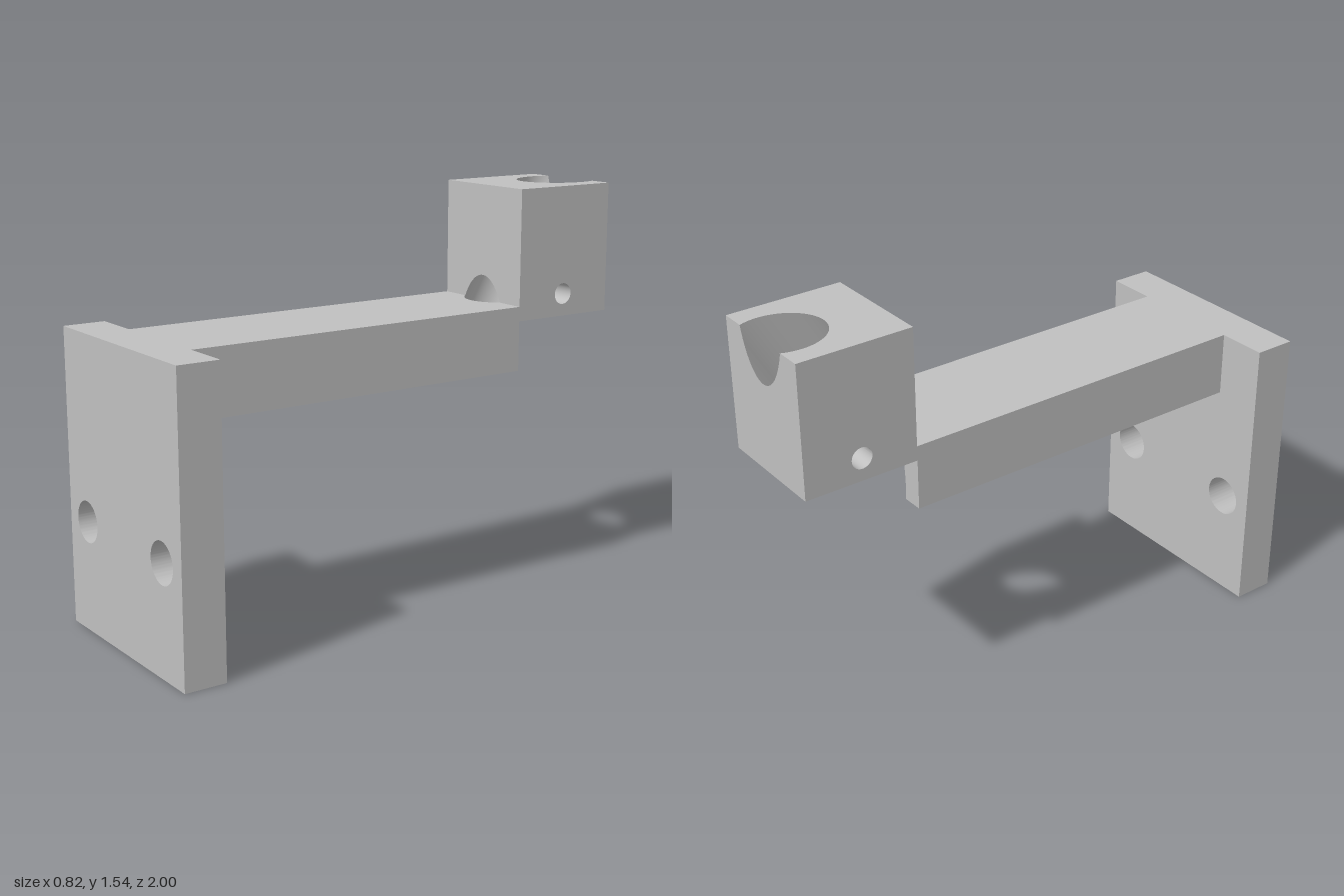
import * as THREE from 'three';
import { toCreasedNormals } from 'three/addons/utils/BufferGeometryUtils.js';

const W = 0.22;                                       // half width of arm and block
const BLOCK = { y0: 1.045, y1: 1.54, z0: -1, z1: -0.565 };
const ARM = { y0: 0.855, y1: 1.1, z0: -0.565, z1: 0.84 };
const R = 0.142, K = Math.tan(Math.PI / 6);           // bore radius, 30 degree lean
const A = R / Math.cos(Math.PI / 6);                  // bore half length in a level cut
const PIN = { y: 1.13, z: -0.78, r: 0.04 };           // small cross hole
const SEG = 240;

// bore centre line in the yz plane
const boreZ = (y) => -0.929 + (1.54 - y) * K;
const boreY = (z) => 1.54 - (z + 0.929) / K;
const clamp = THREE.MathUtils.clamp;

// Surface between two rows of points; zero-size triangles are dropped
function ruled(rowA, rowB, flip = false) {
  const n = rowA.length, index = [];
  const pts = [...rowA, ...rowB].map((p) => new THREE.Vector3(...p));
  const tri = (a, b, c) => {
    const area = new THREE.Triangle(pts[a], pts[b], pts[c]).getArea();
    if (area > 1e-9) index.push(...(flip ? [a, c, b] : [a, b, c]));
  };
  for (let i = 0; i < n - 1; i++) {
    tri(i, i + 1, n + i);
    tri(i + 1, n + i + 1, n + i);
  }
  const g = new THREE.BufferGeometry().setFromPoints(pts);
  g.setIndex(index);
  g.computeVertexNormals();
  return g;
}

// Columns across the width, dense where the bore cuts
const columns = [-W];
for (let i = 0; i <= 64; i++) columns.push(-R * Math.cos((i / 64) * Math.PI));
columns.push(W);

// Flat face from lo to hi with the bore cut out around mid
function cutFace(lo, hi, mid, half, place, flip) {
  const s = columns.map((x) => half * Math.sqrt(Math.max(0, 1 - (x / R) ** 2)));
  const row = (f) => columns.map((x, i) => place(x, clamp(f(s[i]), lo, hi)));
  return [
    ruled(row(() => lo), row((h) => mid - h), flip),
    ruled(row((h) => mid + h), row(() => hi), flip),
  ];
}
const levelFace = (y, z0, z1, up) =>
  cutFace(z0, z1, boreZ(y), A, (x, z) => [x, y, z], up);
const uprightFace = (z, y0, y1, back) =>
  cutFace(y0, y1, boreY(z), A / K, (x, y) => [x, y, z], back);

// Side walls, left and right
function sideWalls({ y0, y1, z0, z1 }, pin) {
  return [1, -1].map((side) => {
    const u = (z) => -side * z;
    const shape = new THREE.Shape([[z0, y0], [z1, y0], [z1, y1], [z0, y1]]
      .map(([z, y]) => new THREE.Vector2(u(z), y)));
    if (pin) shape.holes.push(new THREE.Path().absarc(u(PIN.z), PIN.y, PIN.r, 0, Math.PI * 2));
    return new THREE.ShapeGeometry(shape, 48)
      .rotateY(side * Math.PI / 2).translate(side * W, 0, 0);
  });
}

// Leaning bore wall clipped to a box, with the pin holes left open
function boreWall({ y0, y1, z0, z1 }) {
  const rows = [[], [], [], []];
  for (let i = 0; i <= SEG; i++) {
    const t = (i / SEG) * Math.PI * 2;
    const x = R * Math.cos(t), dz = A * Math.sin(t);
    const lo = clamp(boreY(z1 - dz), y0, y1);
    const hi = clamp(boreY(z0 - dz), lo, y1);
    // where this straight line of the wall crosses the pin hole
    const e = boreZ(PIN.y) + dz - PIN.z, q = 1 + K * K;
    const mid = PIN.y + (K * e) / q;
    const h = Math.sqrt(Math.max(0, PIN.r ** 2 * q - e * e)) / q;
    [lo, mid - h, mid + h, hi].forEach((v, j) => {
      const y = clamp(v, lo, hi);
      rows[j].push([x, y, boreZ(y) + dz]);
    });
  }
  return [ruled(rows[0], rows[1]), ruled(rows[2], rows[3])];
}

// Pin hole tubes from the bore to the side walls
function pinTubes() {
  return [1, -1].map((side) => {
    const inner = [], outer = [];
    for (let i = 0; i <= 48; i++) {
      const t = (i / 48) * Math.PI * 2;
      const y = PIN.y + PIN.r * Math.sin(t), z = PIN.z + PIN.r * Math.cos(t);
      const x = R * Math.sqrt(Math.max(0, 1 - ((z - boreZ(y)) / A) ** 2));
      inner.push([side * x, y, z]);
      outer.push([side * W, y, z]);
    }
    return ruled(inner, outer, side < 0);
  });
}

export function createModel() {
  const model = new THREE.Group();
  model.name = 'bracket';
  const grey = new THREE.MeshStandardMaterial({ color: 0xc0c0c0 });
  grey.name = 'grey';

  const addPart = (name, faces) => {
    const part = new THREE.Group();
    part.name = name;
    for (const [label, geos] of Object.entries(faces)) {
      for (const g of geos) {
        const mesh = new THREE.Mesh(g, grey);
        mesh.name = label;
        part.add(mesh);
      }
    }
    model.add(part);
  };

  // Mounting plate with two screw holes
  const outline = new THREE.Shape([[-0.41, 0], [0.41, 0], [0.41, 1.1], [-0.41, 1.1]]
    .map(([x, y]) => new THREE.Vector2(x, y)));
  for (const x of [-0.275, 0.275]) {
    outline.holes.push(new THREE.Path().absarc(x, 0.413, 0.077, 0, Math.PI * 2));
  }
  const plate = new THREE.ExtrudeGeometry(outline, { depth: 0.16, bevelEnabled: false, curveSegments: 48 });
  addPart('mountingPlate', { plate: [toCreasedNormals(plate.translate(0, 0, 0.84), 0.6)] });

  // Arm, its end notched by the bore
  addPart('arm', {
    armTop: levelFace(ARM.y1, ARM.z0, ARM.z1, true),
    armBottom: levelFace(ARM.y0, ARM.z0, ARM.z1, false),
    armEnd: uprightFace(ARM.z0, ARM.y0, BLOCK.y0, true),
    armSide: sideWalls(ARM, false),
    armBore: boreWall(ARM),
  });

  // Holder block with the leaning bore and cross pin hole
  addPart('holderBlock', {
    blockTop: levelFace(BLOCK.y1, BLOCK.z0, BLOCK.z1, true),
    blockBottom: levelFace(BLOCK.y0, BLOCK.z0, BLOCK.z1, false),
    blockFront: uprightFace(BLOCK.z1, ARM.y1, BLOCK.y1, false),
    blockBack: uprightFace(BLOCK.z0, BLOCK.y0, BLOCK.y1, true),
    blockSide: sideWalls(BLOCK, true),
    blockBore: boreWall(BLOCK),
    pinHole: pinTubes(),
  });

  return model;
}
